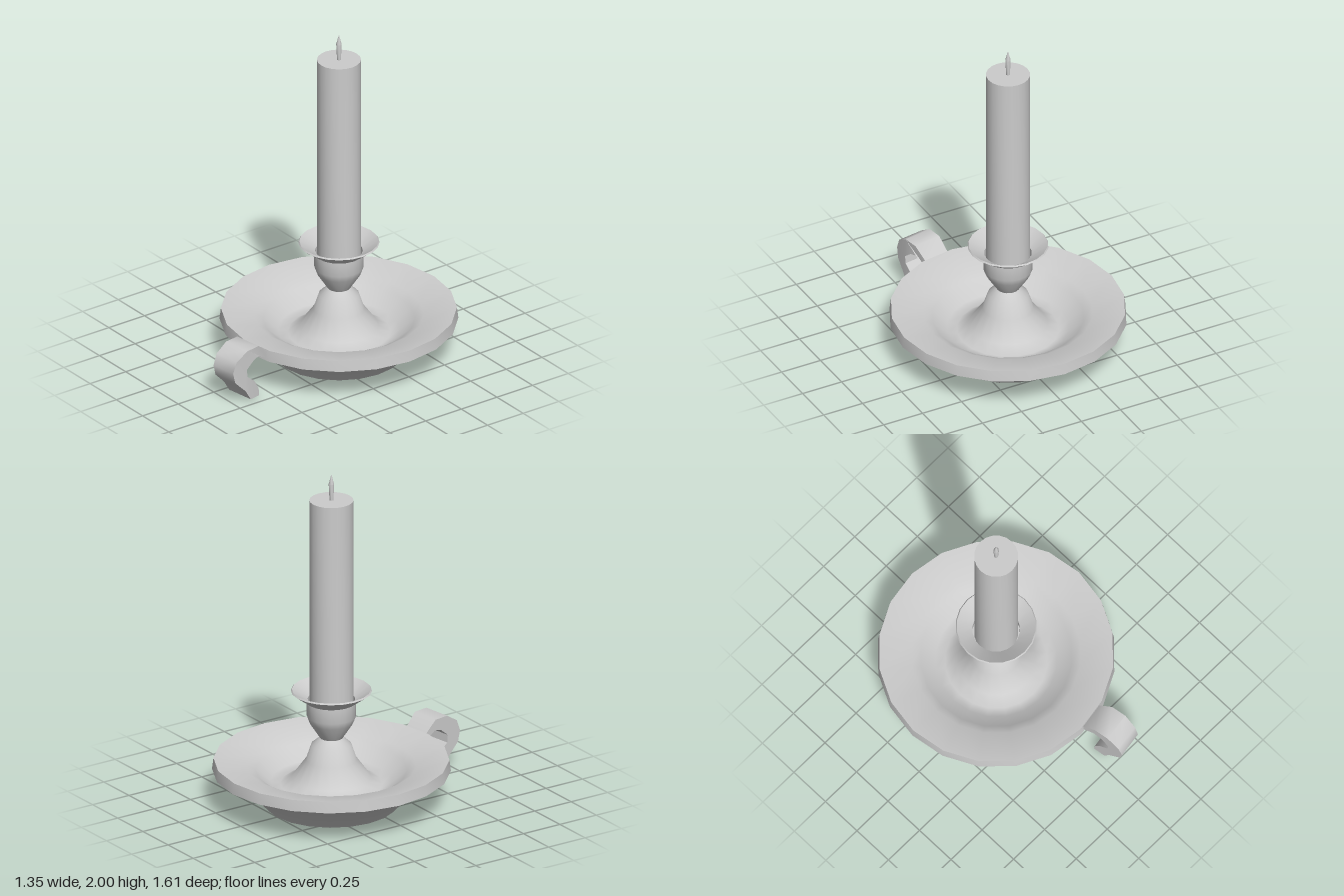
import * as THREE from 'three';
import { toCreasedNormals } from 'three/addons/utils/BufferGeometryUtils.js';

const AXIS_Z = -0.128; // candle and dish axis
const SIDES = 20;
const material = new THREE.MeshStandardMaterial({ color: 0xcccccc });

function part(name, geometry, crease) {
  const mesh = new THREE.Mesh(toCreasedNormals(geometry, crease), material);
  mesh.name = name;
  return mesh;
}

function turned(name, profile, sides = SIDES, crease = 0.8) {
  const points = profile.map(([r, y]) => new THREE.Vector2(r, y));
  return part(name, new THREE.LatheGeometry(points, sides), crease);
}

export function createModel() {
  const group = new THREE.Group();
  group.name = 'candlestick';

  const body = new THREE.Group();
  body.name = 'body';
  body.position.z = AXIS_Z;
  group.add(body);

  // Flat foot
  body.add(turned('foot', [[0, 0], [0.375, 0]]));

  // Dish: underside, nearly flat rim, hollow, then the flare rising to the neck
  body.add(turned('dish', [
    [0.375, 0], [0.48, 0.12], [0.675, 0.205], [0.667, 0.27], [0.655, 0.268],
    [0.48, 0.232], [0.43, 0.205], [0.345, 0.135], [0.29, 0.122], [0.225, 0.16],
    [0.145, 0.27], [0.115, 0.36], [0.065, 0.403],
  ], SIDES, 1.2));

  // Socket cup with its flared drip pan
  body.add(turned('socket', [
    [0.065, 0.403], [0.125, 0.495], [0.14, 0.535], [0.14, 0.62], [0.23, 0.686],
    [0.224, 0.694], [0.135, 0.635], [0.135, 0.58], [0, 0.58],
  ]));

  // Candle and wick
  body.add(turned('candle', [[0, 0.58], [0.125, 0.58], [0.125, 1.843], [0, 1.843]]));
  body.add(turned('wick', [[0.011, 1.84], [0.016, 1.94], [0, 2]], 8));

  // Curled finger handle: side outline as (radius, height), set at an angle to the front
  const outline = [
    [0.65, 0.25], [0.74, 0.328], [0.83, 0.328], [0.905, 0.28], [0.93, 0.215],
    [0.915, 0.15], [0.845, 0.08], [0.805, 0.015], [0.735, 0.015], [0.74, 0.06],
    [0.775, 0.12], [0.83, 0.165], [0.835, 0.21], [0.78, 0.255], [0.735, 0.265], [0.65, 0.21],
  ];
  const shape = new THREE.Shape(outline.map(([r, y]) => new THREE.Vector2(r, y)));
  const width = 0.155;
  const strip = new THREE.ExtrudeGeometry(shape, { depth: width, bevelEnabled: false });
  strip.translate(0, 0, -width / 2);

  // The strip swells sideways around the middle of its reach
  const pos = strip.attributes.position;
  for (let i = 0; i < pos.count; i++) {
    if (pos.getZ(i) < 0) {
      const swell = 0.018 * Math.sin(Math.PI * (pos.getX(i) - 0.65) / 0.28);
      pos.setZ(i, pos.getZ(i) - swell);
    }
  }
  const handle = part('handle', strip, 0.75);
  handle.rotation.y = THREE.MathUtils.degToRad(-81);
  body.add(handle);

  return group;
}
